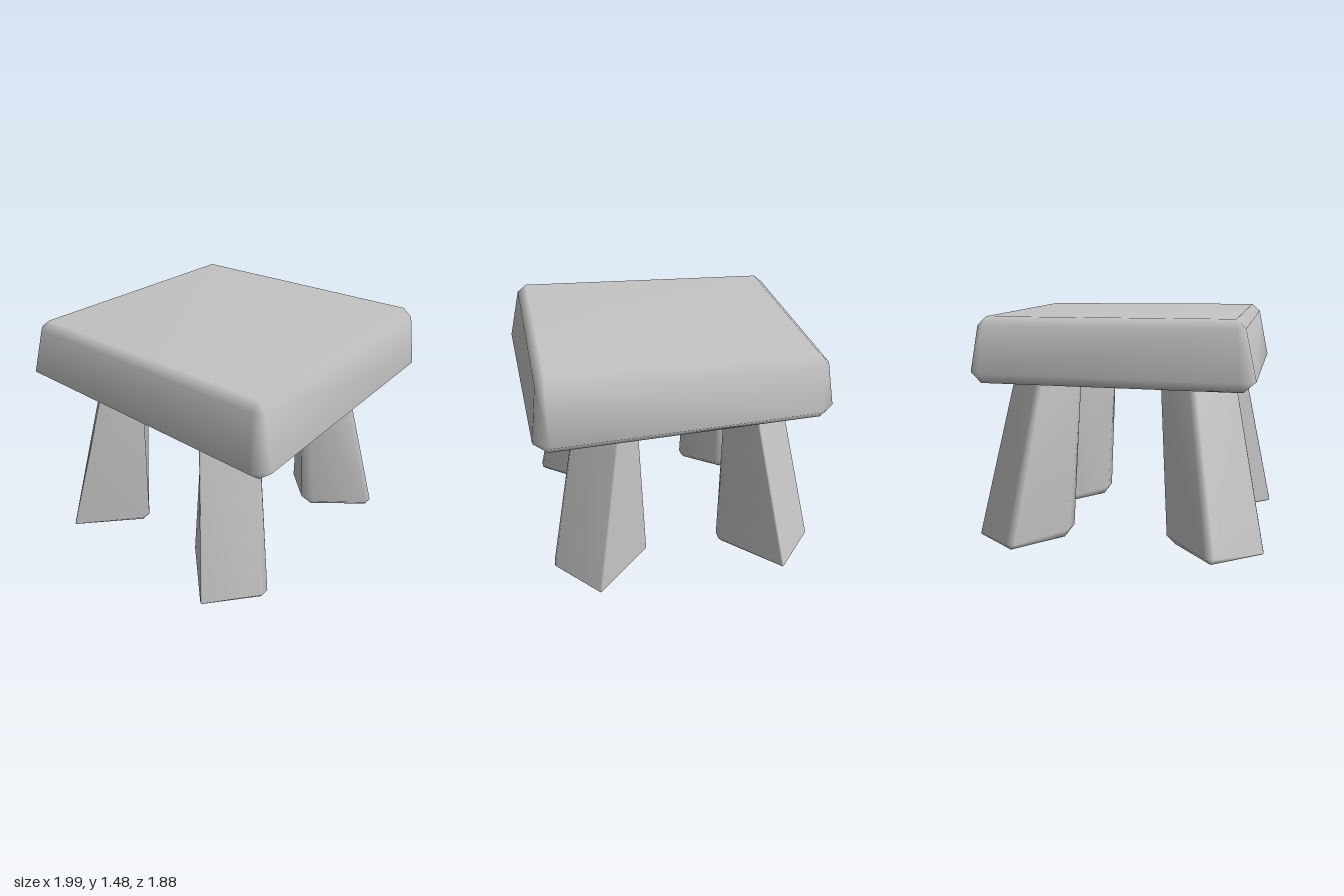
import * as THREE from 'three';

// Six-sided block with chamfered edges. Corners are numbered by bits
// (1: first axis, 2: up, 4: third axis); insets give the chamfer per corner and axis.
function chamferedBlock(corners, insets) {
  const pts = corners.map((c) => new THREE.Vector3(...c));
  const centre = new THREE.Vector3();
  pts.forEach((p) => centre.addScaledVector(p, 1 / 8));

  // Three vertices per corner, one lying on each adjoining face
  const verts = [];
  pts.forEach((p, i) => {
    for (let face = 0; face < 3; face++) {
      const v = p.clone();
      for (let axis = 0; axis < 3; axis++) {
        if (axis === face) continue;
        const dir = pts[i ^ (1 << axis)].clone().sub(p).normalize();
        v.addScaledVector(dir, insets[i][axis]);
      }
      verts.push(v);
    }
  });

  const index = [];
  const tri = (a, b, c) => {
    const n = verts[b].clone().sub(verts[a]).cross(verts[c].clone().sub(verts[a]));
    const outward = n.dot(verts[a].clone().sub(centre)) > 0;
    index.push(...(outward ? [a, b, c] : [a, c, b]));
  };
  const quad = (a, b, c, d) => { tri(a, b, c); tri(a, c, d); };

  for (let a = 0; a < 3; a++) {
    const b = (a + 1) % 3, c = (a + 2) % 3;
    const B = 1 << b, C = 1 << c;
    // Two main faces
    for (const i of [0, 1 << a]) {
      quad(i * 3 + a, (i | B) * 3 + a, (i | B | C) * 3 + a, (i | C) * 3 + a);
    }
    // Four chamfers along this axis
    for (const i of [0, B, C, B | C]) {
      const j = i | (1 << a);
      quad(i * 3 + b, j * 3 + b, j * 3 + c, i * 3 + c);
    }
  }
  // Corner triangles
  for (let i = 0; i < 8; i++) tri(i * 3, i * 3 + 1, i * 3 + 2);

  const geo = new THREE.BufferGeometry();
  geo.setAttribute('position', new THREE.Float32BufferAttribute(verts.flatMap((v) => v.toArray()), 3));
  geo.setIndex(index);
  geo.computeVertexNormals();
  return geo;
}

export function createModel() {
  const group = new THREE.Group();
  const stone = new THREE.MeshStandardMaterial({ color: 0xc4c4c4 });
  stone.name = 'stoneGrey';

  const add = (name, geo) => {
    const mesh = new THREE.Mesh(geo, stone);
    mesh.name = name;
    group.add(mesh);
  };

  // Uneven seat slab, narrower at the back left and slightly higher at +x
  const low = [0.09, 0.065, 0.085], high = [0.05, 0.055, 0.045];
  add('seatSlab', chamferedBlock([
    [-0.885, 1.035, -0.86], [0.935, 1.035, -0.96],
    [-0.82, 1.435, -0.79], [0.885, 1.483, -0.87],
    [-1.015, 1.035, 0.89], [1.015, 1.035, 0.89],
    [-0.91, 1.435, 0.80], [0.91, 1.483, 0.80],
  ], [low, low, high, high, low, low, high, high]));

  // Four splayed legs, turned to face the slab corners
  const legCorners = [
    [0.895, 0, 0.62], [0.60, 0, 0.928],
    [0.67, 1.08, 0.47], [0.42, 1.08, 0.715],
    [0.53, 0, 0.27], [0.215, 0, 0.565],
    [0.48, 1.08, 0.235], [0.27, 1.08, 0.51],
  ];
  const legInsets = [0.04, 0.01, 0.03, 0.01, 0.07, 0.045, 0.03, 0.03].map((s) => [s, s, s]);
  for (const [sz, zName] of [[1, 'front'], [-1, 'back']]) {
    for (const [sx, xName] of [[1, 'Left'], [-1, 'Right']]) {
      const corners = legCorners.map(([x, y, z]) => [x * sx, y, z * sz + 0.015]);
      add(`${zName}${xName}Leg`, chamferedBlock(corners, legInsets));
    }
  }
  return group;
}
